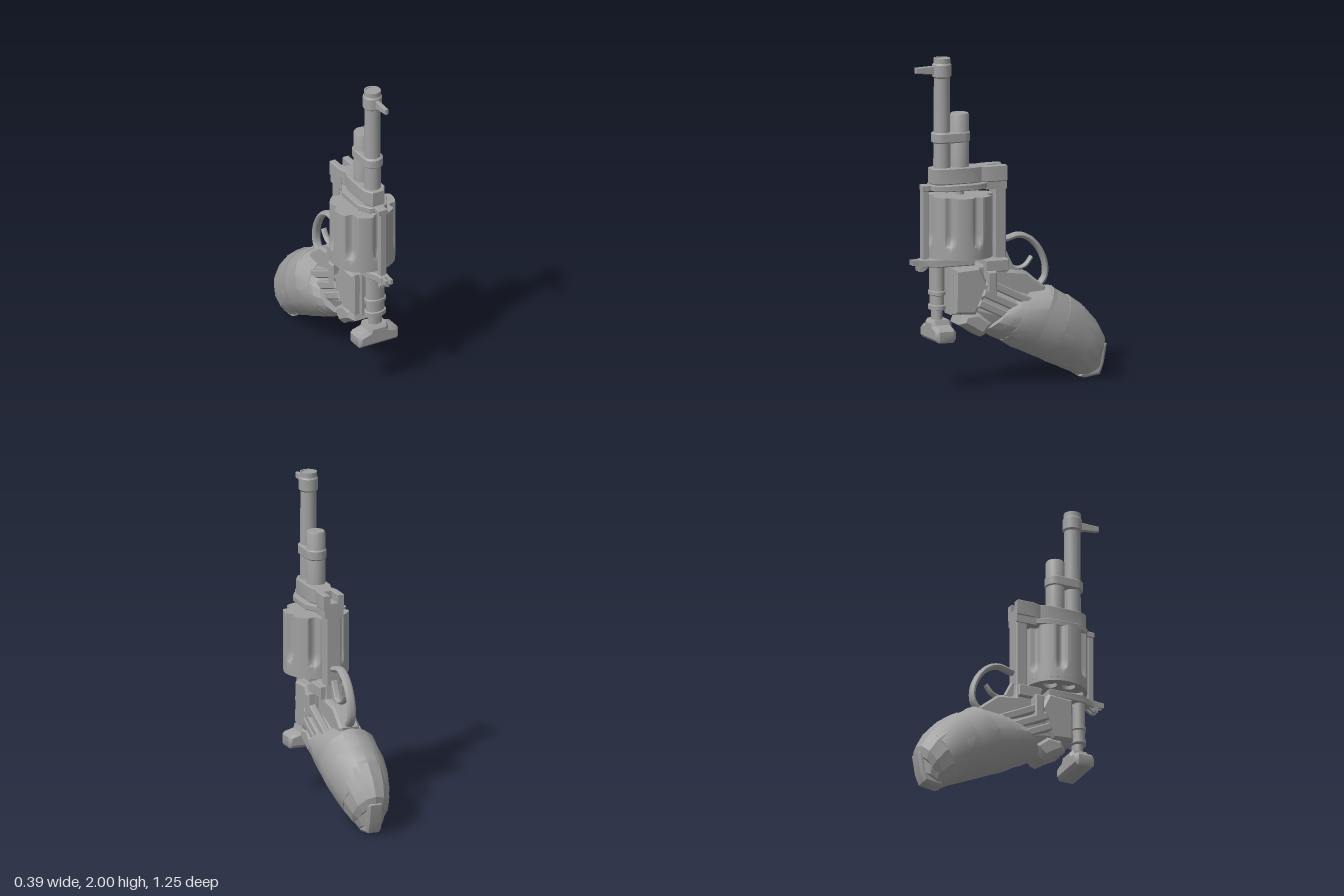
import * as THREE from 'three';
import { toCreasedNormals } from 'three/addons/utils/BufferGeometryUtils.js';

const steel = new THREE.MeshStandardMaterial({ color: 0xa0a0a0 });
steel.name = 'grey steel';

export function createModel() {
  const root = new THREE.Group();
  const add = (name, geo, crease = 0.6) => {
    const m = new THREE.Mesh(toCreasedNormals(geo, crease), steel);
    m.name = name;
    root.add(m);
    return m;
  };
  const toShape = (pts) => new THREE.Shape(pts.map((p) => new THREE.Vector2(p[0], p[1])));
  const extrude = (shape, depth, bevel) => new THREE.ExtrudeGeometry(shape, {
    depth: depth - 2 * bevel, curveSegments: 14, bevelEnabled: bevel > 0,
    bevelThickness: bevel, bevelSize: bevel, bevelOffset: -bevel, bevelSegments: 1,
  }).translate(0, 0, bevel);
  // side outline given as (z, y), centred on x
  const side = (name, pts, width, bevel = 0, x = 0) =>
    add(name, extrude(toShape(pts), width, bevel).translate(0, 0, -width / 2).rotateY(-Math.PI / 2).translate(x, 0, 0));
  // plan outline given as (x, z), between two heights
  const plan = (name, shape, y0, y1, bevel = 0) =>
    add(name, extrude(shape, y1 - y0, bevel).rotateX(Math.PI / 2).translate(0, y1, 0));
  const mirrored = (half) => toShape([...half, ...half.slice().reverse().map(([x, z]) => [-x, z])]);
  // turned part on a vertical axis, profile as (radius, y)
  const turned = (name, z, pts, sx = 1, seg = 28) =>
    add(name, new THREE.LatheGeometry(pts.map((p) => new THREE.Vector2(p[0], p[1])), seg).scale(sx, 1, 1).translate(0, 0, z));
  // loft through sections [topZ, topY, bottomZ, bottomY, halfWidth]
  const loft = (name, sections, n = 16, crease = 0.45) => {
    const pos = [], idx = [];
    for (const [tz, ty, bz, by, hw] of sections) {
      for (let j = 0; j < n; j++) {
        const a = (j / n) * Math.PI * 2, c = Math.cos(a) / 2;
        pos.push(hw * Math.sin(a), (ty + by) / 2 + (ty - by) * c, (tz + bz) / 2 + (tz - bz) * c);
      }
    }
    const last = sections.length - 1;
    for (let i = 0; i < last; i++) {
      for (let j = 0; j < n; j++) {
        const k = (j + 1) % n, a = i * n, b = a + n;
        idx.push(a + j, a + k, b + j, a + k, b + k, b + j);
      }
    }
    for (let j = 1; j < n - 1; j++) idx.push(0, j + 1, j, last * n, last * n + j, last * n + j + 1);
    const g = new THREE.BufferGeometry();
    g.setAttribute('position', new THREE.Float32BufferAttribute(pos, 3));
    g.setIndex(idx);
    return add(name, g, crease);
  };

  // barrel with muzzle collar and bore
  turned('barrel', 0.427, [[0, 1.3], [0.052, 1.3], [0.048, 1.88], [0.058, 1.89], [0.058, 1.96],
    [0.051, 1.97], [0.051, 2], [0.042, 2], [0.04, 1.993], [0, 1.993]]);
  turned('ejectorTube', 0.313, [[0, 1.3], [0.057, 1.3], [0.057, 1.65], [0.052, 1.66], [0, 1.66]]);
  side('frontSight', [[0.46, 1.9], [0.51, 1.905], [0.6, 1.915], [0.6, 1.95], [0.46, 1.955]], 0.026, 0.004);
  const band = new THREE.Shape();
  band.absarc(0, 0.43, 0.062, 0, Math.PI);
  band.absarc(0, 0.31, 0.062, Math.PI, Math.PI * 2);
  plan('barrelBand', band, 1.485, 1.55, 0.008);

  // upper frame with rear sight groove
  plan('upperFrame', mirrored([[0.025, 0.13], [0.025, 0.03], [0.066, 0.03], [0.066, 0.14], [0.05, 0.19],
    [0.07, 0.25], [0.07, 0.45], [0.04, 0.5]]), 1.235, 1.335, 0.006);
  plan('grooveFloor', mirrored([[0.06, 0.03], [0.06, 0.16]]), 1.19, 1.28);
  plan('frontPlate', mirrored([[0.06, 0.16], [0.1, 0.24], [0.1, 0.43], [0.06, 0.5], [0.03, 0.51], [0.03, 0.56]]), 1.197, 1.235, 0.005);
  side('topStrap', [[0.52, 0.77], [0.56, 0.77], [0.56, 1.23], [0.52, 1.23]], 0.045, 0.006);
  side('rearStrap', [[0.03, 0.68], [0.105, 0.68], [0.105, 1.2], [0.165, 1.2], [0.165, 1.25], [0.03, 1.25]], 0.1, 0.008);

  // fluted seven-chamber drum
  const R = 0.197, ZC = 0.31;
  const drum = new THREE.CylinderGeometry(R, R, 0.35, 140, 14).translate(0, 0.99, 0);
  const p = drum.attributes.position;
  for (let i = 0; i < p.count; i++) {
    const x = p.getX(i), y = p.getY(i), z = p.getZ(i);
    if (Math.hypot(x, z) < 0.1) continue;
    const step = (Math.PI * 2) / 7, a = Math.atan2(x, z);
    const d = (a - Math.round(a / step) * step) / 0.19;
    const e = Math.max(0, (0.93 - y) / 0.07);
    const r = 1 - (0.033 / R) * Math.max(0, 1 - d * d - e * e);
    p.setXYZ(i, x * r, y, z * r);
  }
  add('drum', drum.translate(0, 0, ZC), 0.5);
  const base = new THREE.Shape().absarc(0, ZC, R, 0, Math.PI * 2);
  for (let i = 0; i < 7; i++) {
    const a = (i + 0.5) * Math.PI * 2 / 7;
    base.holes.push(new THREE.Path().absarc(Math.sin(a) * 0.13, ZC + Math.cos(a) * 0.13, 0.042, 0, Math.PI * 2, true));
  }
  plan('drumBase', base, 0.79, 0.816);
  turned('drumPin', ZC, [[0, 0.72], [0.045, 0.72], [0.045, 0.8], [0.025, 0.8], [0.025, 1.2], [0, 1.2]]);

  // lower plate, rear sight prongs and pin
  plan('recoilPlate', mirrored([[0.07, 0.24], [0.07, 0.47], [0.035, 0.53], [0.03, 0.58]]), 0.735, 0.785, 0.006);
  for (const s of [-1, 1]) {
    side('sightProng', [[0.52, 0.735], [0.555, 0.71], [0.585, 0.71], [0.59, 0.745], [0.627, 0.75], [0.627, 0.78], [0.52, 0.785]], 0.016, 0, s * 0.017);
  }
  add('crossPin', new THREE.CylinderGeometry(0.014, 0.014, 0.075, 12).rotateZ(Math.PI / 2).translate(0, 0.728, 0.57));

  // hammer with its wide thumb pad
  turned('hammer', 0.46, [[0, 0.41], [0.032, 0.41], [0.032, 0.47], [0.05, 0.475], [0.05, 0.5], [0.042, 0.505],
    [0.042, 0.56], [0.05, 0.565], [0.05, 0.585], [0.044, 0.59], [0.044, 0.74], [0, 0.74]], 1.4);
  const pad = toShape([[-0.13, 0.285], [0.13, 0.285], [0.14, 0.3], [0.14, 0.355], [0.125, 0.37], [0.07, 0.385],
    [0.06, 0.415], [-0.06, 0.415], [-0.07, 0.385], [-0.125, 0.37], [-0.14, 0.355], [-0.14, 0.3]]);
  add('thumbPad', extrude(pad, 0.13, 0.02).translate(0, 0, 0.385));

  // lock housing
  side('housing', [[0.39, 0.44], [0.39, 0.73], [0.18, 0.735], [0.18, 0.77], [0.03, 0.77], [0.02, 0.69], [-0.1, 0.675],
    [-0.22, 0.575], [-0.2, 0.45], [0.15, 0.32], [0.24, 0.35], [0.33, 0.44]], 0.13, 0.015);
  for (const s of [-1, 1]) {
    side('sidePlate', [[0.385, 0.45], [0.38, 0.72], [0.22, 0.73], [0.16, 0.6], [0.25, 0.44]], 0.06, 0.015, s * 0.08);
    side('bracket', [[0.18, 0.55], [0.18, 0.765], [0.03, 0.765], [0.03, 0.69], [0.12, 0.69], [0.12, 0.54]], 0.04, 0.006, s * 0.07);
    side('bracketRib', [[0.18, 0.55], [0.18, 0.7], [0.12, 0.7], [0.12, 0.54]], 0.045, 0.008, s * 0.108);
    for (const [i, x] of [[0, 0.098], [1, 0.108], [2, 0.1]]) {
      const o = i * 0.062;
      side('gripRib', [[0.24 - o * 0.4, 0.49 + o], [0.22 - o * 0.4, 0.535 + o], [-0.1 - o * 0.4, 0.38 + o], [-0.08 - o * 0.4, 0.335 + o]], 0.045, 0.008, s * x);
    }
  }
  side('heel', [[0.345, 0.38], [0.32, 0.45], [0.22, 0.46], [0.12, 0.38], [0.18, 0.31], [0.21, 0.3], [0.27, 0.34]], 0.2, 0.03);

  // trigger guard and trigger
  const curve = (pts) => new THREE.CatmullRomCurve3(pts.map(([z, y]) => new THREE.Vector3(0, y, z)));
  const bow = curve([[0.05, 0.87], [0.01, 0.875], [-0.07, 0.892], [-0.14, 0.865], [-0.2, 0.8], [-0.237, 0.71], [-0.235, 0.63], [-0.19, 0.57]]);
  add('triggerGuard', new THREE.TubeGeometry(bow, 36, 0.019, 10).scale(1.5, 1, 1), 0.9);
  const trigger = curve([[0.03, 0.77], [-0.01, 0.71], [-0.06, 0.69], [-0.11, 0.705], [-0.152, 0.755]]);
  add('trigger', new THREE.TubeGeometry(trigger, 20, 0.014, 8).scale(1.4, 1, 1), 0.9);
  side('triggerRoot', [[0.05, 0.67], [0.05, 0.8], [0.015, 0.8], [-0.03, 0.71], [-0.08, 0.67]], 0.04, 0.006);

  // grip core and overlapping cloth wraps
  loft('gripCore', [
    [0.14, 0.64, 0.29, 0.37, 0.085], [0, 0.6, 0.18, 0.34, 0.115], [-0.2, 0.53, -0.02, 0.24, 0.15],
    [-0.42, 0.4, -0.24, 0.11, 0.15], [-0.53, 0.33, -0.36, 0.06, 0.13],
    [-0.605, 0.2, -0.44, 0.02, 0.1], [-0.6, 0.08, -0.46, 0.005, 0.07],
  ], 10, 0.2);
  loft('innerWrap', [[-0.03, 0.525, 0.18, 0.33, 0.15], [-0.09, 0.55, 0.12, 0.29, 0.168], [-0.27, 0.55, 0, 0.235, 0.175]]);
  loft('secondWrap', [[-0.12, 0.56, 0.06, 0.262, 0.172], [-0.28, 0.572, -0.02, 0.212, 0.187], [-0.36, 0.5, -0.15, 0.16, 0.178]]);
  loft('thirdWrap', [[-0.26, 0.577, -0.07, 0.192, 0.184], [-0.38, 0.505, -0.17, 0.145, 0.186], [-0.47, 0.43, -0.25, 0.115, 0.175]]);
  loft('outerWrap', [[-0.385, 0.51, -0.19, 0.138, 0.186], [-0.475, 0.445, -0.29, 0.09, 0.172], [-0.56, 0.34, -0.37, 0.055, 0.148]]);
  loft('endWrap', [[-0.49, 0.43, -0.33, 0.07, 0.16], [-0.57, 0.34, -0.4, 0.04, 0.142], [-0.618, 0.25, -0.44, 0.015, 0.115],
    [-0.615, 0.19, -0.475, 0.01, 0.085]], 12, 0.3);
  side('buttStrap', [[-0.45, 0.01], [-0.48, 0], [-0.58, 0.015], [-0.605, 0.08], [-0.625, 0.2], [-0.56, 0.22], [-0.48, 0.1]], 0.1, 0.015);
  return root;
}
